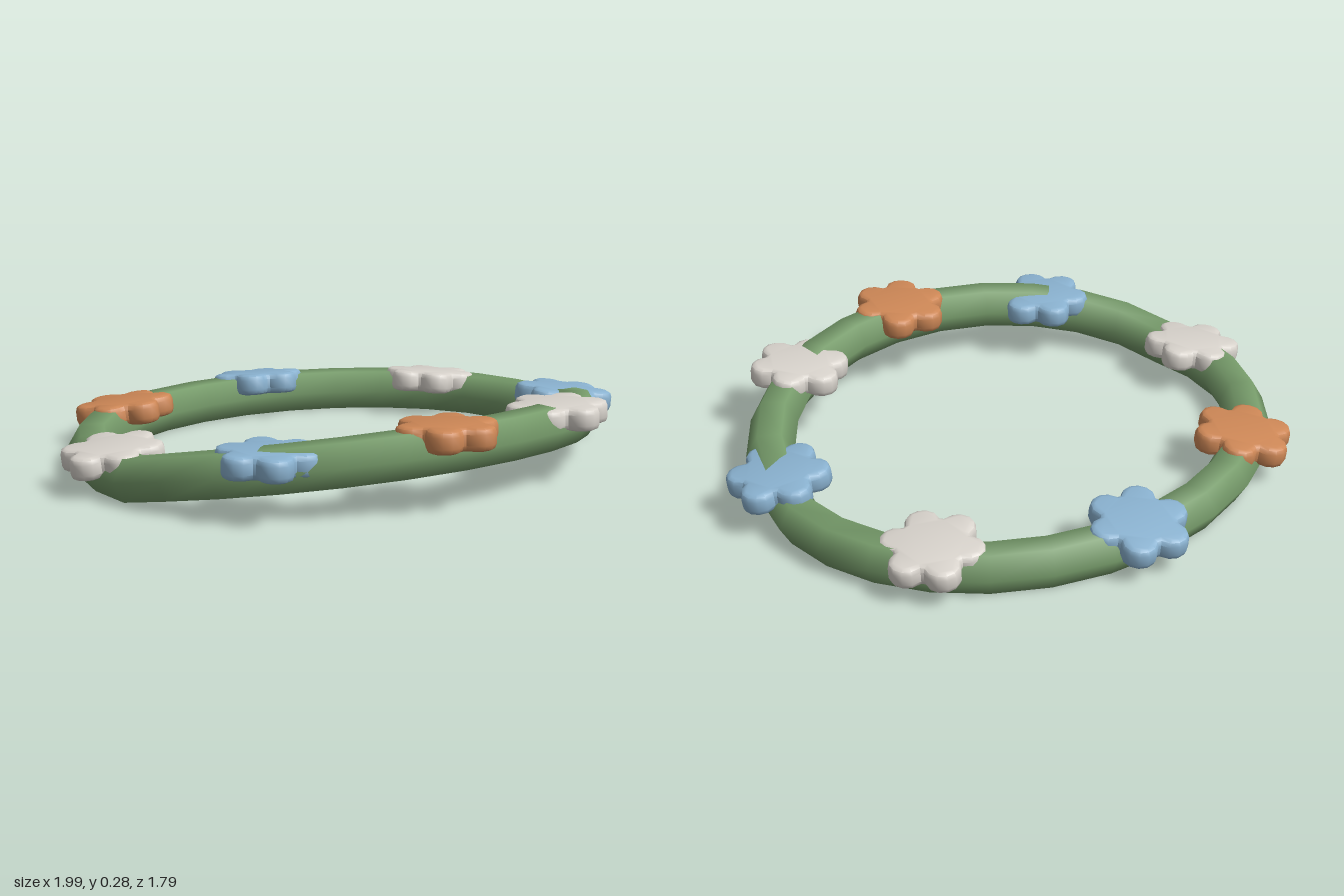
import * as THREE from 'three';
import { mergeVertices, toCreasedNormals } from 'three/addons/utils/BufferGeometryUtils.js';

const RX = 0.865, RZ = 0.74, TUBE = 0.08, CX = 0.0125, SEGMENTS = 28;
const BLUE = 0x8ab2d0, ORANGE = 0xcd8756, CREAM = 0xd8d3cc;
const DEG = Math.PI / 180;

// Height of the ring's centre line: flat at the back, rising to the front
function ringHeight(z) {
  const t = Math.max(0, (z - 0.083) / 0.657);
  return TUBE * Math.sin(60 * DEG) + 0.122 * Math.pow(t, 0.92);
}

// Six-sided tube swept round an oval
function ringGeometry() {
  let g = new THREE.TorusGeometry(RX, TUBE, 6, SEGMENTS);
  g.rotateX(-Math.PI / 2);
  g.rotateY(Math.PI / SEGMENTS);
  const p = g.attributes.position;
  for (let i = 0; i < p.count; i++) {
    const x = p.getX(i), z = p.getZ(i), r = Math.hypot(x, z);
    const c = x / r, s = z / r, off = r - RX;
    p.setXYZ(i, CX + c * (RX + off), p.getY(i) + ringHeight(RZ * s), s * (RZ + off));
  }
  g.deleteAttribute('uv');
  g.deleteAttribute('normal');
  g = mergeVertices(g, 1e-4);
  g.computeVertexNormals();
  return g;
}

// Flat blossom with six rounded petals and a soft rim
function flowerGeometry() {
  const shape = new THREE.Shape();
  const lobe = 0.058, reach = 0.112, pts = [];
  for (let k = 0; k < 6; k++) {
    for (let j = 0; j <= 6; j++) {
      const a = k * 60 * DEG, b = a + (-92 + j * 184 / 6) * DEG;
      pts.push(new THREE.Vector2(
        reach * Math.cos(a) + lobe * Math.cos(b),
        reach * Math.sin(a) + lobe * Math.sin(b)));
    }
  }
  shape.setFromPoints(pts);
  const g = new THREE.ExtrudeGeometry(shape, {
    depth: 0.034, bevelEnabled: true, bevelThickness: 0.02,
    bevelSize: 0.018, bevelOffset: -0.018, bevelSegments: 2,
  });
  g.translate(0, 0, -0.017);
  g.rotateX(-Math.PI / 2);
  return toCreasedNormals(g, 0.8);
}

export function createModel() {
  const model = new THREE.Group();
  model.name = 'flowerWreath';

  const ring = new THREE.Mesh(ringGeometry(), new THREE.MeshStandardMaterial({ color: 0x769b6a }));
  ring.name = 'ring';
  model.add(ring);

  // Flowers: x, y, z, petal turn in degrees, outward lean, colour
  const flowers = [
    [-0.465, 0.115, -0.61, 27, 0.12, ORANGE],
    [0.185, 0.113, -0.73, 16, 0.13, BLUE],
    [0.73, 0.112, -0.38, 57, 0.11, CREAM],
    [0.83, 0.14, 0.24, 43, 0.1, BLUE],
    [0.405, 0.214, 0.655, 28, -0.03, CREAM],
    [-0.12, 0.233, 0.725, 14, -0.04, ORANGE],
    [-0.62, 0.178, 0.49, 54, 0, BLUE],
    [-0.83, 0.112, -0.07, 45, 0.12, CREAM],
  ];
  const geometry = flowerGeometry();
  const up = new THREE.Vector3(0, 1, 0);
  flowers.forEach(([x, y, z, turn, lean, color], i) => {
    const flower = new THREE.Mesh(geometry, new THREE.MeshStandardMaterial({ color }));
    flower.name = 'flower' + (i + 1);
    flower.position.set(x, y, z);
    const out = new THREE.Vector3(x, 0, z).normalize();
    flower.quaternion.setFromAxisAngle(up.clone().cross(out), lean)
      .multiply(new THREE.Quaternion().setFromAxisAngle(up, -turn * DEG));
    model.add(flower);
  });
  return model;
}
